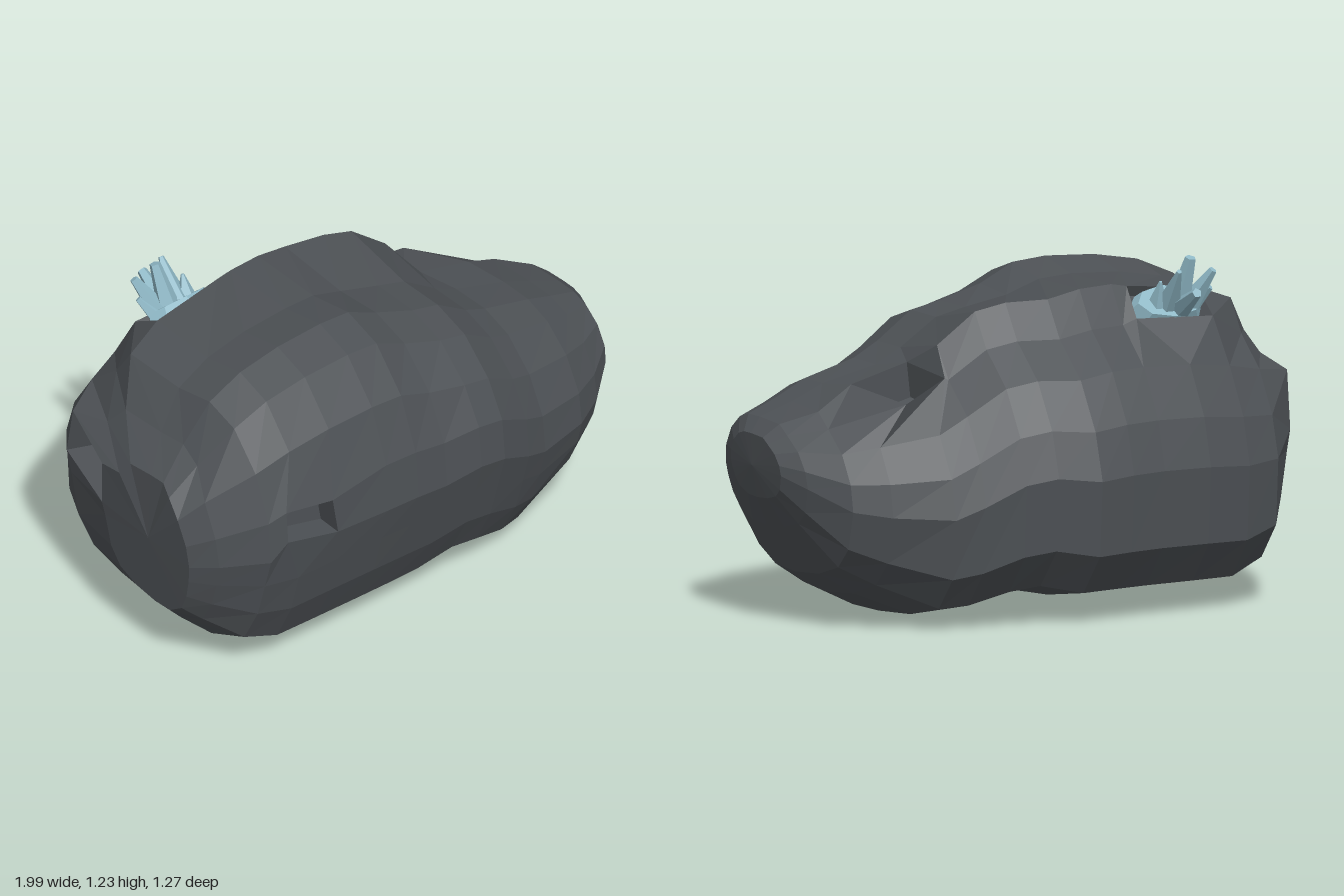
import * as THREE from 'three';

const V = (x, y, z) => new THREE.Vector3(x, y, z);
const clamp01 = (t) => Math.min(1, Math.max(0, t));

// Unit cross-section: u runs back to front (-1..1), v bottom to top (0..1)
const PROFILE = [
  [0.42, 0], [0.74, 0.08], [0.87, 0.22], [0.94, 0.36], [1, 0.48], [0.975, 0.64], [0.85, 0.82],
  [0.64, 0.955], [0.4, 1], [0.1, 0.97], [-0.37, 0.975], [-0.51, 0.86], [-0.75, 0.75],
  [-0.92, 0.6], [-1, 0.45], [-0.97, 0.21], [-0.78, 0.08], [-0.37, 0.04], [0.05, 0.02],
];

// Stations along the rock: x, bottom, top, back, front
const STATIONS = [
  [-0.97, 0.26, 0.83, -0.07, 0.38], [-0.9, 0.19, 0.93, -0.33, 0.46], [-0.76, 0.09, 1.07, -0.52, 0.57],
  [-0.62, 0.03, 1.13, -0.57, 0.59], [-0.45, 0.03, 1.16, -0.6, 0.605], [-0.26, 0.03, 1.17, -0.615, 0.615],
  [-0.13, 0.03, 1.165, -0.63, 0.62], [0, 0.03, 1.14, -0.64, 0.62], [0.15, 0.065, 1.135, -0.6, 0.63],
  [0.26, 0.05, 1.11, -0.57, 0.625], [0.4, 0.01, 1.0, -0.53, 0.59], [0.5, 0, 0.92, -0.5, 0.56],
  [0.7, 0.09, 0.835, -0.41, 0.52], [0.82, 0.17, 0.78, -0.34, 0.46], [0.93, 0.34, 0.73, -0.21, 0.38],
  [0.985, 0.45, 0.68, -0.12, 0.24],
];

// Sunken pockets: rim corners, depth and how far the floor narrows
const POCKETS = [
  { depth: 0.1, narrow: 0.04,
    rim: [V(-0.69, 0.62, 0.58), V(-0.48, 0.58, 0.6), V(-0.5, 0.72, 0.595), V(-0.69, 0.74, 0.57)] },
  { depth: 0.12, narrow: 0.25,
    rim: [V(0.45, 0.9, -0.05), V(0.67, 0.84, -0.05), V(0.59, 0.8, -0.3), V(0.41, 0.87, -0.25)] },
  { depth: 0.11, narrow: 0.25,
    rim: [V(-0.99, 0.75, -0.06), V(-0.91, 0.8, -0.31), V(-0.895, 0.6, -0.36), V(-0.975, 0.57, -0.08)] },
  { depth: 0.04, narrow: 0.15,
    rim: [V(-0.61, 1.1, -0.21), V(-0.32, 1.13, -0.23), V(-0.31, 1.03, -0.32), V(-0.6, 1.02, -0.34)] },
];

function rockGeometry() {
  const n = PROFILE.length;

  // Rings, rounded and leaning towards both ends
  const rings = STATIONS.map(([x, yb, yt, zb, zf]) => {
    const leftEnd = clamp01((-x - 0.76) / 0.21);
    const rightLean = clamp01((x - 0.84) / 0.14);
    const round = Math.max(0.55 * clamp01((x - 0.35) / 0.35), 0.45 * leftEnd);
    // The right half of the hill sinks towards the front
    const sink = 0.09 * clamp01((x + 0.15) / 0.3) * clamp01((0.6 - x) / 0.25);
    return PROFILE.map(([u, v]) => {
      const a = Math.atan2(v * 2 - 1, u);
      const pu = THREE.MathUtils.lerp(u, Math.cos(a), round);
      const pv = THREE.MathUtils.lerp(v, 0.5 + 0.5 * Math.sin(a), round);
      const z = (zb + zf) / 2 + ((zf - zb) / 2) * pu;
      const y = yb + (yt - yb) * pv - sink * clamp01((z + 0.1) / 0.3) * clamp01((pv - 0.6) / 0.3);
      const leftLean = -0.1 * (Math.min(y, 0.78) - 0.53) + 0.6 * Math.max(0, y - 0.78);
      return V(x + rightLean * 0.08 * (y - 0.55) + leftEnd * leftLean, y, z);
    });
  });
  const corners = (i, j) => {
    const k = (j + 1) % n;
    return [rings[i][j], rings[i + 1][j], rings[i + 1][k], rings[i][k]];
  };
  const middle = (pts) => pts.reduce((s, p) => s.add(p), V(0, 0, 0)).divideScalar(pts.length);

  // Fit the nearest cell to each pocket rim
  const cells = new Map();
  for (const pocket of POCKETS) {
    const target = middle(pocket.rim);
    let best = null;
    for (let i = 0; i < rings.length - 1; i++) {
      for (let j = 0; j < n; j++) {
        const d = middle(corners(i, j)).distanceTo(target);
        if (!best || d < best.d) best = { d, i, j };
      }
    }
    corners(best.i, best.j).forEach((p, k) => p.copy(pocket.rim[k]));
    cells.set(best.i * n + best.j, pocket);
  }

  const pos = [];
  const tri = (...pts) => pts.forEach((p) => pos.push(p.x, p.y, p.z));
  const quad = (a, b, c, d) => { tri(a, b, c); tri(a, c, d); };

  // Skin, with walls and a floor where a cell is sunken
  for (let i = 0; i < rings.length - 1; i++) {
    for (let j = 0; j < n; j++) {
      const c = corners(i, j);
      const pocket = cells.get(i * n + j);
      if (!pocket) { quad(...c); continue; }
      const m = middle(c);
      const inward = c[3].clone().sub(c[1]).cross(c[2].clone().sub(c[0]));
      inward.setLength(pocket.depth);
      const floor = c.map((p) => p.clone().lerp(m, pocket.narrow).add(inward));
      for (let k = 0; k < 4; k++) quad(c[k], c[(k + 1) % 4], floor[(k + 1) % 4], floor[k]);
      quad(...floor);
    }
  }

  // End caps
  const first = rings[0], last = rings[rings.length - 1];
  const leftTip = middle(first).add(V(-0.008, 0, 0)), rightTip = middle(last).add(V(0.01, 0, 0));
  for (let j = 0; j < n; j++) {
    const k = (j + 1) % n;
    tri(leftTip, first[j], first[k]);
    tri(rightTip, last[k], last[j]);
  }

  const geo = new THREE.BufferGeometry();
  geo.setAttribute('position', new THREE.Float32BufferAttribute(pos, 3));
  geo.computeVertexNormals();
  return geo;
}

// Tapered prism between two points
function shard(from, to, r0, r1, sides, material) {
  const dir = to.clone().sub(from);
  const mesh = new THREE.Mesh(new THREE.CylinderGeometry(r1, r0, dir.length(), sides), material);
  mesh.position.copy(from).addScaledVector(dir, 0.5);
  mesh.quaternion.setFromUnitVectors(V(0, 1, 0), dir.normalize());
  return mesh;
}

export function createModel() {
  const rockGrey = new THREE.MeshStandardMaterial({ color: 0x4d5155, flatShading: true });
  rockGrey.name = 'rock grey';
  const crystalBlue = new THREE.MeshStandardMaterial({ color: 0x8fb8c6, flatShading: true });
  crystalBlue.name = 'crystal blue';

  const model = new THREE.Group();
  model.name = 'asteroid';
  const rock = new THREE.Mesh(rockGeometry(), rockGrey);
  rock.name = 'rock';
  model.add(rock);

  // Crystal cluster growing from the upper back pocket
  const crystals = new THREE.Group();
  crystals.name = 'crystals';
  const bed = shard(V(-0.46, 1.04, -0.25), V(-0.46, 1.075, -0.282), 0.085, 0.07, 8, crystalBlue);
  bed.name = 'crystalBed';
  bed.scale.x = 1.75;
  crystals.add(bed);
  const spikes = [
    [V(-0.5, 1.05, -0.27), V(-0.515, 1.23, -0.335), 0.045, 0.02],
    [V(-0.455, 1.05, -0.275), V(-0.44, 1.195, -0.39), 0.05, 0.01],
    [V(-0.49, 1.04, -0.29), V(-0.48, 1.125, -0.445), 0.04, 0.018],
    [V(-0.53, 1.05, -0.28), V(-0.59, 1.185, -0.36), 0.042, 0.015],
    [V(-0.55, 1.05, -0.27), V(-0.595, 1.12, -0.33), 0.035, 0.012],
    [V(-0.42, 1.05, -0.27), V(-0.41, 1.15, -0.31), 0.045, 0.006],
  ];
  for (const [from, to, r0, r1] of spikes) {
    const spike = shard(from, to, r0, r1, 5, crystalBlue);
    spike.name = 'crystalSpike';
    crystals.add(spike);
  }
  model.add(crystals);
  return model;
}
